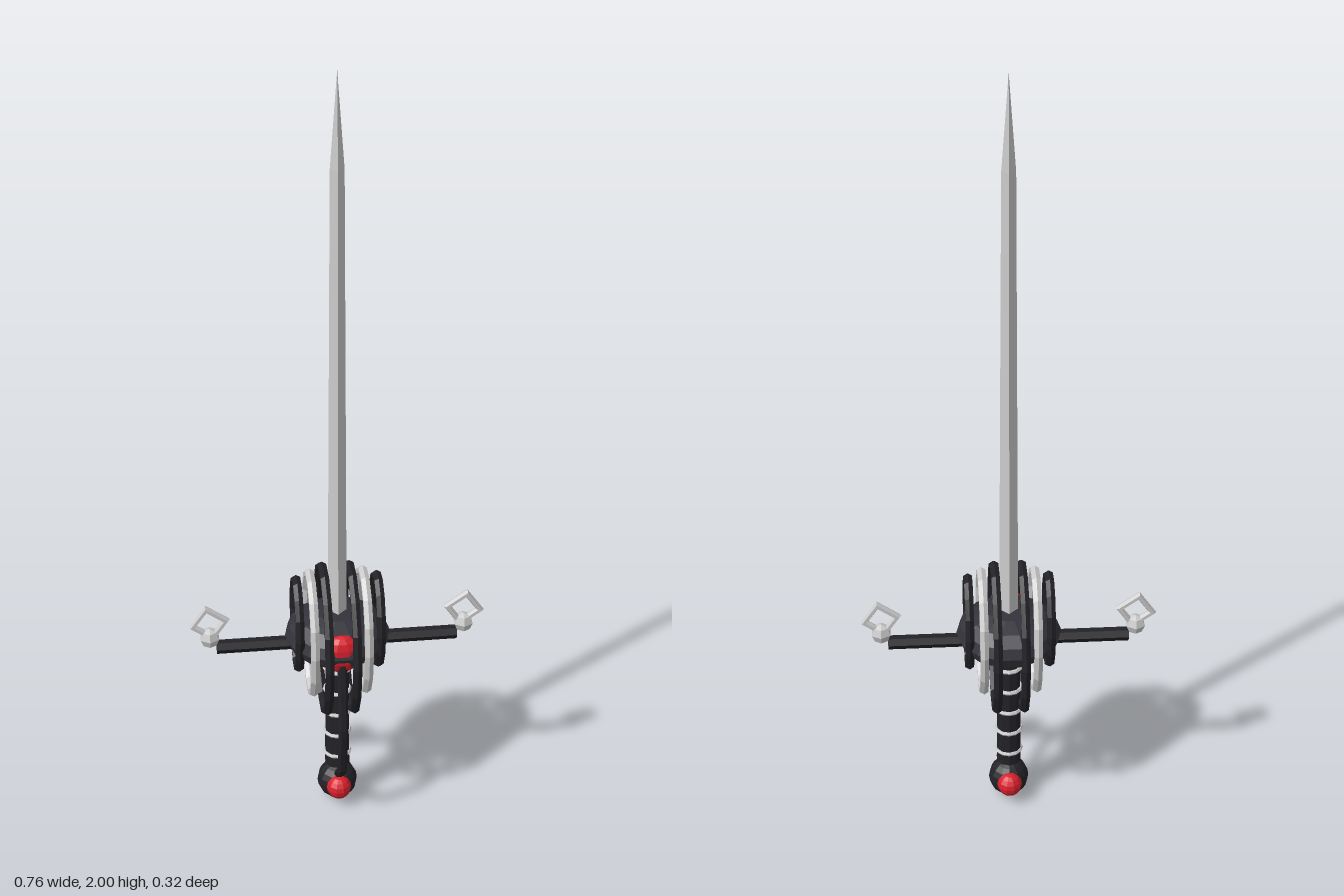
import * as THREE from 'three';

const mat = (color) => new THREE.MeshStandardMaterial({ color, flatShading: true });

export function createModel() {
  const steel = mat(0xcccccc), dark = mat(0x232227), guard = mat(0x34323a), red = mat(0xd8202c);
  const model = new THREE.Group();

  function add(name, geometry, material, x = 0, y = 0, z = 0) {
    const mesh = new THREE.Mesh(geometry, material);
    mesh.name = name;
    mesh.position.set(x, y, z);
    model.add(mesh);
    return mesh;
  }

  // Four-sided blade tapering to a point
  const bladeProfile = [[0, 0.46], [0.025, 0.46], [0.017, 1.77], [0, 2]].map(([r, y]) => new THREE.Vector2(r, y));
  add('blade', new THREE.LatheGeometry(bladeProfile, 4), steel);

  // Flattened shell with a gem on its front
  add('guardShell', new THREE.SphereGeometry(0.135, 14, 8), guard, 0, 0.522).scale.y = 0.52;
  add('guardGem', new THREE.SphereGeometry(0.053, 10, 8), red, 0, 0.525, 0.104).scale.z = 0.5;

  // Crossguard bar
  add('crossguard', new THREE.CylinderGeometry(0.018, 0.018, 0.62, 6), dark, 0, 0.5).rotation.z = Math.PI / 2;

  for (const side of [-1, 1]) {
    // Square loop and knob on each end of the bar
    add('endKnob', new THREE.SphereGeometry(0.027, 6, 4), steel, side * 0.327, 0.53).rotation.y = Math.PI / 2;
    add('endLoop', new THREE.TorusGeometry(0.043, 0.011, 6, 4), steel, side * 0.327, 0.573)
      .rotation.z = -side * 0.17;

    // Oval side rings: [x, centre y, half height, half depth, material]
    for (const [x, y, h, d, m] of [
      [0.035, 0.503, 0.204, 0.148, dark],
      [0.068, 0.524, 0.168, 0.118, steel],
      [0.103, 0.555, 0.125, 0.082, dark],
    ]) {
      add('sideRing', ovalRing(h, d, 0.0125, 14), m, side * x, y);
    }

    // Pommel gems, front and back
    add('pommelGem', new THREE.SphereGeometry(0.033, 10, 8), red, 0, 0.056, side * 0.042);
  }

  // Knuckle bow sweeping from the guard to the pommel
  const bow = [[0.5, 0.115], [0.43, 0.128], [0.31, 0.143], [0.16, 0.112], [0.095, 0.035]];
  const path = new THREE.CurvePath();
  const points = bow.map(([y, z]) => new THREE.Vector3(0, y, z));
  for (let i = 1; i < points.length; i++) path.add(new THREE.LineCurve3(points[i - 1], points[i]));
  add('knuckleBow', new THREE.TubeGeometry(path, 24, 0.0125, 6), dark);

  // Grip with wire bands
  add('grip', new THREE.CylinderGeometry(0.03, 0.033, 0.39, 10), dark, 0, 0.305);
  for (let i = 0; i < 5; i++) {
    add('gripBand', new THREE.TorusGeometry(0.032, 0.006, 6, 12), steel, 0, 0.147 + i * 0.0665)
      .rotation.x = Math.PI / 2;
  }

  // Pommel
  add('pommel', new THREE.SphereGeometry(0.053, 12, 10), dark, 0, 0.053);
  return model;
}

// Oval ring in the y-z plane with an even tube thickness
function ovalRing(halfHeight, halfDepth, tube, segments) {
  const geometry = new THREE.TorusGeometry(1, tube, 6, segments);
  const p = geometry.attributes.position;
  for (let i = 0; i < p.count; i++) {
    const a = Math.atan2(p.getY(i), p.getX(i));
    const offset = Math.hypot(p.getX(i), p.getY(i)) - 1;
    p.setXY(i, Math.cos(a) * (halfDepth + offset), Math.sin(a) * (halfHeight + offset));
  }
  geometry.rotateY(Math.PI / 2);
  geometry.computeVertexNormals();
  return geometry;
}
